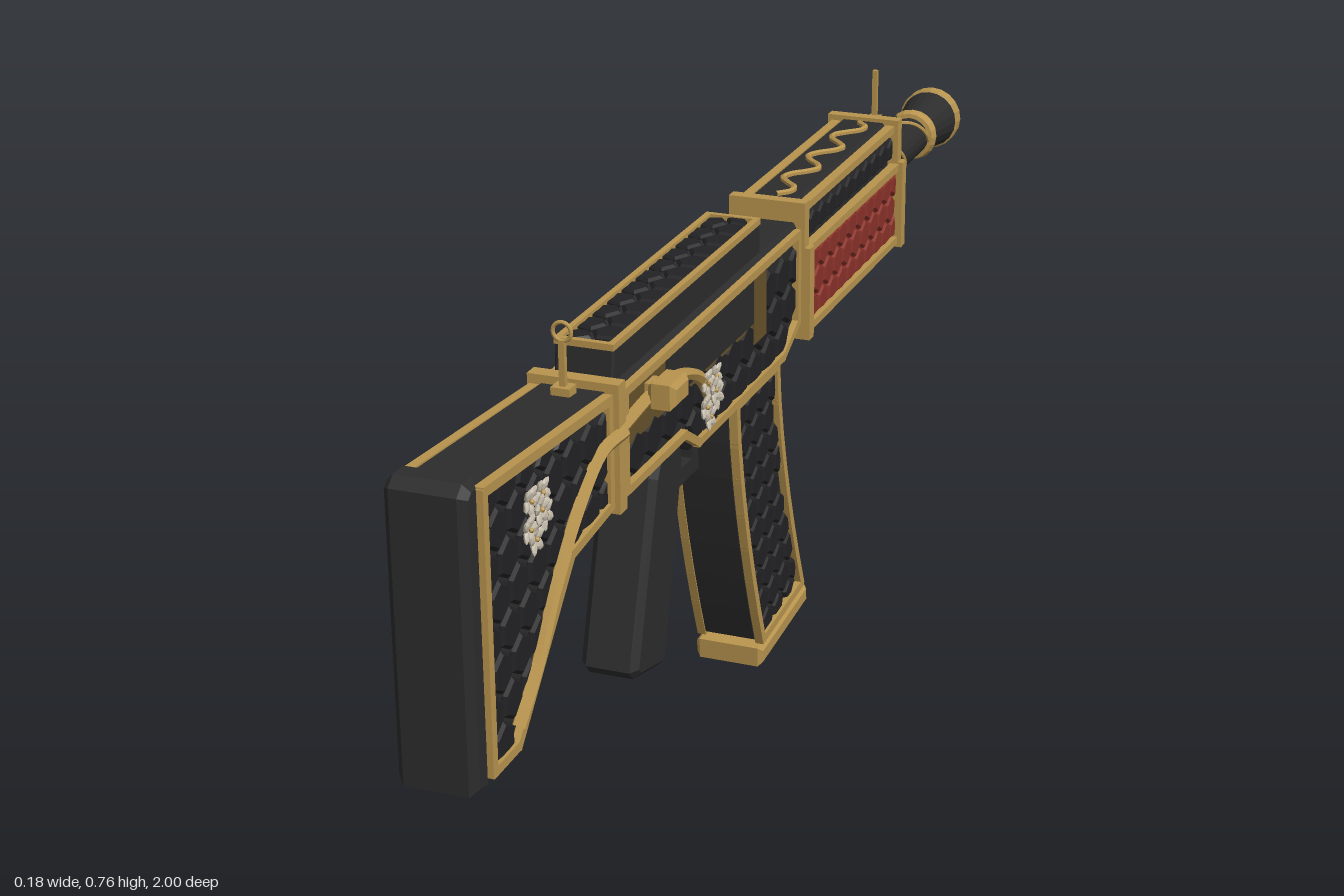
import * as THREE from 'three';
import { mergeGeometries } from 'three/addons/utils/BufferGeometryUtils.js';

const mat = (name, color) => {
  const m = new THREE.MeshStandardMaterial({ color, flatShading: true });
  m.name = name;
  return m;
};

export function createModel() {
  const black = mat('black metal', 0x2c2c2d);
  const cellBlack = mat('black scales', 0x222224);
  const gold = mat('gold', 0xb8944e);
  const bronze = mat('dark bronze', 0x67522b);
  const red = mat('red', 0x8a3229);
  const silver = mat('silver petals', 0xc8bfae);

  const model = new THREE.Group();
  const gun = new THREE.Group();
  gun.name = 'body';
  gun.position.x = -0.007;
  model.add(gun);

  const add = (name, geo, m) => {
    const mesh = new THREE.Mesh(geo, m);
    mesh.name = name;
    gun.add(mesh);
    return mesh;
  };
  const box = (name, m, w, h, d, x, y, z, tilt = 0) => {
    const b = add(name, new THREE.BoxGeometry(w, h, d), m);
    b.position.set(x, y, z);
    b.rotation.x = tilt;
    return b;
  };
  // Side outline of [z, y] points extruded to half width hw, with chamfered edges
  const slab = (pts, hw, bevel) => {
    const shape = new THREE.Shape(pts.map(p => new THREE.Vector2(p[0], p[1])));
    const g = new THREE.ExtrudeGeometry(shape, {
      depth: 2 * (hw - bevel), bevelEnabled: bevel > 0, bevelThickness: bevel,
      bevelSize: bevel, bevelOffset: -bevel, bevelSegments: 1 });
    return g.translate(0, 0, bevel - hw).rotateY(-Math.PI / 2);
  };
  // Bars following an outline on both sides
  const trim = (name, pts, x, t) => {
    const parts = [];
    pts.forEach(([z1, y1], i) => {
      const [z2, y2] = pts[(i + 1) % pts.length];
      const bar = new THREE.BoxGeometry(t, t, Math.hypot(z2 - z1, y2 - y1) + t * 0.7);
      bar.rotateX(-Math.atan2(y2 - y1, z2 - z1));
      for (const s of [-1, 1]) parts.push(bar.clone().translate(s * x, (y1 + y2) / 2, (z1 + z2) / 2));
    });
    add(name, mergeGeometries(parts), gold);
  };
  const inside = (p, poly) => {
    let hit = false;
    for (let i = 0, j = poly.length - 1; i < poly.length; j = i++) {
      const [ax, ay] = poly[i], [bx, by] = poly[j];
      if ((ay > p[1]) !== (by > p[1]) && p[0] < (bx - ax) * (p[1] - ay) / (by - ay) + ax) hit = !hit;
    }
    return hit;
  };
  // Raised hexagonal scales filling an outline at x, except where skip is true
  const scales = (poly, x, r, skip = () => false) => {
    const zs = poly.map(p => p[0]), ys = poly.map(p => p[1]), parts = [];
    const dz = r * 1.8, dy = r * 1.56;
    let row = 0;
    for (let y = Math.min(...ys) + r * 0.6; y < Math.max(...ys); y += dy, row++)
      for (let z = Math.min(...zs) + (row % 2) * dz / 2; z < Math.max(...zs); z += dz) {
        if (!inside([z, y], poly) || skip(z, y)) continue;
        const pts = [];
        let cover = 0;
        for (let k = 0; k < 6; k++) {
          const a = Math.PI / 6 + k * Math.PI / 3;
          let f = 1, p;
          do { p = [z + Math.cos(a) * r * 0.95 * f, y + Math.sin(a) * r * 0.95 * f]; f -= 0.1; }
          while (f > 0.15 && !inside(p, poly));
          cover += f;
          pts.push(p);
        }
        if (cover > 3) parts.push(slab(pts, 0.006, r * 0.14));
      }
    return mergeGeometries(parts).translate(x, 0, 0);
  };
  const bothScales = (name, poly, x, r, m = cellBlack) => {
    for (const s of [-1, 1]) add(name, scales(poly, s * x, r), m);
  };
  const vine = (name, pts, r = 0.009) => {
    const curve = new THREE.CatmullRomCurve3(pts.map(p => new THREE.Vector3(...p)));
    add(name, new THREE.TubeGeometry(curve, pts.length * 6, r, 6), gold);
  };
  const lathe = (name, m, pts) => {
    const g = new THREE.LatheGeometry(pts.map(p => new THREE.Vector2(p[0], p[1])), 20);
    add(name, g.rotateX(-Math.PI / 2), m).position.y = 0.585;
  };

  // Butt plate and stock
  add('buttPlate', slab([[0.96, 0.298], [1, 0.305], [1, 0.69], [0.985, 0.702], [0.96, 0.702]], 0.053, 0.01), black);
  const stock = [[0.965, 0.31], [0.965, 0.688], [0.57, 0.66], [0.57, 0.505], [0.715, 0.492], [0.89, 0.31]];
  add('stock', slab(stock, 0.047, 0.004), black);
  const stockTrim = [[0.955, 0.318], [0.955, 0.682], [0.59, 0.655], [0.59, 0.51], [0.715, 0.498], [0.885, 0.318]];
  trim('stockTrim', stockTrim, 0.051, 0.013);
  bothScales('stockScales', stockTrim, 0.047, 0.03);
  box('stockCollar', gold, 0.126, 0.178, 0.022, 0, 0.583, 0.568);

  // Receiver with scales, gold edging and a bronze plate around the port
  const receiver = [[0.56, 0.5], [0.56, 0.66], [-0.14, 0.66], [-0.14, 0.5], [-0.06, 0.465], [0.29, 0.465], [0.34, 0.497]];
  add('receiver', slab(receiver, 0.048, 0.006), black);
  const panel = [[0.54, 0.51], [0.54, 0.648], [-0.125, 0.648], [-0.125, 0.51], [-0.06, 0.477], [0.285, 0.477], [0.335, 0.508]];
  for (const s of [-1, 1]) {
    const nearPort = (z, y) => s > 0 && z > 0.015 && y > 0.565;
    add('receiverScales', scales(panel, s * 0.048, 0.033, nearPort), cellBlack);
  }
  trim('receiverTrim', panel, 0.052, 0.012);
  box('portPlate', bronze, 0.008, 0.078, 0.52, 0.049, 0.606, 0.278);
  box('portFrame', bronze, 0.012, 0.1, 0.05, 0.05, 0.591, 0.04);
  box('ejectionPort', black, 0.012, 0.066, 0.33, 0.05, 0.608, 0.232);
  box('chargingHandleStem', gold, 0.035, 0.022, 0.03, 0.06, 0.622, 0.455);
  add('chargingHandle', slab([[0.43, 0.605], [0.485, 0.605], [0.485, 0.64], [0.43, 0.64]], 0.02, 0.007), gold).position.x = 0.081;

  // Top rail
  add('topRail', slab([[0.545, 0.655], [0.54, 0.703], [0.003, 0.703], [0, 0.655]], 0.041, 0.003), black);
  const railTop = [[0.535, -0.034], [0.535, 0.034], [0.008, 0.034], [0.008, -0.034]];
  add('railScales', scales(railTop, 0.703, 0.027).rotateZ(Math.PI / 2), cellBlack);
  for (const s of [-1, 1]) box('railTrim', gold, 0.009, 0.009, 0.54, s * 0.037, 0.706, 0.272);
  for (const z of [0.005, 0.538]) box('railEnd', gold, 0.082, 0.009, 0.009, 0, 0.706, z);

  // Handguard: red lower half, black upper half, gold frames
  box('handguardLower', red, 0.106, 0.12, 0.45, 0, 0.547, -0.377);
  add('handguardUpper', slab([[-0.15, 0.6], [-0.15, 0.685], [-0.6, 0.685], [-0.6, 0.6]], 0.047, 0.014), black);
  const lower = [[-0.16, 0.495], [-0.16, 0.605], [-0.595, 0.605], [-0.595, 0.495]];
  const upper = [[-0.16, 0.625], [-0.16, 0.672], [-0.595, 0.672], [-0.595, 0.625]];
  bothScales('handguardRedScales', lower, 0.053, 0.025, red);
  bothScales('handguardBlackScales', upper, 0.046, 0.024);
  for (const s of [-1, 1]) for (const [y, x] of [[0.488, 0.055], [0.613, 0.055], [0.676, 0.046]])
    box('handguardTrim', gold, 0.015, 0.012, 0.46, s * x, y, -0.377);
  for (const z of [-0.149, -0.608]) {
    box('handguardCollar', gold, 0.138, 0.145, 0.02, 0, 0.549, z);
    box('handguardCollarTop', gold, 0.12, 0.082, 0.02, 0, 0.65, z);
  }

  // Barrel, sight block and flared muzzle
  lathe('barrel', black, [[0, 0.6], [0.033, 0.6], [0.033, 0.9], [0.035, 0.9], [0.049, 0.975], [0.02, 0.975]]);
  lathe('barrelRing', gold, [[0.03, 0.86], [0.04, 0.862], [0.044, 0.875], [0.04, 0.888], [0.03, 0.89]]);
  lathe('muzzle', gold, [[0.045, 0.972], [0.052, 0.976], [0.052, 0.995], [0.047, 1], [0.021, 1], [0.019, 0.976]]);
  lathe('bore', black, [[0.021, 0.978], [0, 0.978]]);
  add('frontSightBlock', slab([[-0.63, 0.552], [-0.63, 0.672], [-0.69, 0.672], [-0.69, 0.552]], 0.036, 0.008), black);
  box('frontSightFoot', gold, 0.02, 0.006, 0.02, 0, 0.674, -0.66);
  box('frontSightPin', gold, 0.008, 0.08, 0.008, 0, 0.714, -0.66);

  // Rear ring sight
  box('rearSightFoot', gold, 0.026, 0.014, 0.022, 0, 0.667, 0.607);
  box('rearSightPost', gold, 0.008, 0.07, 0.008, 0, 0.7, 0.607);
  add('rearSightRing', new THREE.TorusGeometry(0.0125, 0.0028, 8, 20), gold).position.set(0, 0.746, 0.607);

  // Pistol grip, trigger and guard
  add('pistolGrip', slab([[0.395, 0.495], [0.41, 0.47], [0.488, 0.215], [0.475, 0.2], [0.39, 0.18], [0.375, 0.19], [0.305, 0.46], [0.315, 0.5]], 0.042, 0.01), black);
  box('guardBar', black, 0.04, 0.024, 0.13, 0, 0.41, 0.265);
  box('guardPost', black, 0.04, 0.075, 0.024, 0, 0.435, 0.209);
  box('trigger', gold, 0.022, 0.05, 0.026, 0, 0.468, 0.275);
  box('triggerTip', gold, 0.018, 0.04, 0.018, 0, 0.437, 0.277, 0.1);

  // Curved magazine
  const rear = [], front = [];
  for (let i = 0; i <= 7; i++) {
    const t = i / 7, bend = Math.pow(t, 1.5);
    rear.push([0.13 - 0.112 * bend, 0.468 - 0.425 * t]);
    front.push([-0.052 - 0.118 * bend, 0.468 - 0.41 * t]);
  }
  const mag = [...rear, ...front.reverse()];
  add('magazine', slab(mag, 0.043, 0.004), black);
  const magPanel = mag.map(([z, y], i) => [z + (i < 8 ? -0.006 : 0.006), y]);
  trim('magazineTrim', magPanel, 0.047, 0.013);
  bothScales('magazineScales', magPanel, 0.043, 0.027);
  const base = add('magazineBase', slab([[0.106, -0.016], [0.106, 0.016], [-0.106, 0.016], [-0.106, -0.016]], 0.054, 0.007), gold);
  base.position.set(0, 0.0245, -0.081);
  base.rotation.x = 0.075;

  // Golden vines
  for (const s of [-1, 1])
    vine('stockVine', [[0.89, 0.345], [0.83, 0.4], [0.77, 0.48], [0.7, 0.55], [0.62, 0.597], [0.57, 0.606]].map(([z, y]) => [s * (z > 0.6 ? 0.057 : 0.066), y, z]));
  const path = (x, pts) => pts.map(([z, y]) => [x, y, z]);
  vine('receiverVineRight', path(0.059, [[0.57, 0.606], [0.45, 0.615], [0.36, 0.605], [0.29, 0.575], [0.25, 0.53]]));
  vine('receiverVineLeft', path(-0.058, [[0.57, 0.606], [0.47, 0.57], [0.36, 0.6], [0.257, 0.62], [0.16, 0.57], [0.06, 0.55], [-0.04, 0.59], [-0.13, 0.57]]), 0.008);
  vine('handguardVine', path(-0.063, [[-0.15, 0.59], [-0.22, 0.53], [-0.28, 0.55], [-0.36, 0.58], [-0.45, 0.54], [-0.53, 0.575], [-0.59, 0.55]]), 0.006);
  const wave = [], helix = [];
  for (let i = 0; i <= 20; i++) {
    wave.push([0.018 * Math.sin(i * 1.1), 0.687, -0.18 - i * 0.02]);
    helix.push([0.035 * Math.sin(i * 0.4), 0.585 + 0.035 * Math.cos(i * 0.4), -0.69 - i * 0.0085]);
  }
  vine('handguardTopVine', wave, 0.005);
  vine('barrelVine', helix, 0.003);

  // Silver flowers: clusters of small blossoms with gold centres
  const petal = new THREE.OctahedronGeometry(1, 1).scale(0.004, 0.0115, 0.0075);
  const flower = (s, z, y, size) => {
    const f = new THREE.Group();
    f.name = 'flower';
    const petals = [];
    for (const [u, v, out] of [[0, 0.012, 0.013], [0.022, -0.006, 0.008], [-0.021, -0.004, 0.008], [0.016, 0.028, 0.007], [-0.019, 0.025, 0.006], [0.002, -0.027, 0.006]]) {
      for (let k = 0; k < 5; k++)
        petals.push(petal.clone().rotateZ(-0.3).translate(0, 0.01, 0).rotateX(k * Math.PI * 0.4 + u * 40).translate(out, v, u));
      const heart = new THREE.Mesh(new THREE.IcosahedronGeometry(0.004, 0), gold);
      heart.name = 'flowerCentre';
      heart.position.set(out + 0.002, v, u);
      f.add(heart);
    }
    const mesh = new THREE.Mesh(mergeGeometries(petals), silver);
    mesh.name = 'petals';
    f.add(mesh);
    f.rotation.y = s > 0 ? 0 : Math.PI;
    f.scale.setScalar(size);
    f.position.set(s * 0.057, y, z);
    gun.add(f);
  };
  for (const [s, z, y, size] of [[1, 0.835, 0.6, 1], [1, 0.26, 0.535, 1], [-1, 0.88, 0.605, 1], [-1, 0.47, 0.55, 1.1],
    [-1, 0.257, 0.625, 0.9], [-1, 0.06, 0.545, 1.05], [-1, -0.28, 0.55, 0.9], [-1, -0.53, 0.58, 0.95]]) flower(s, z, y, size);

  return model;
}
